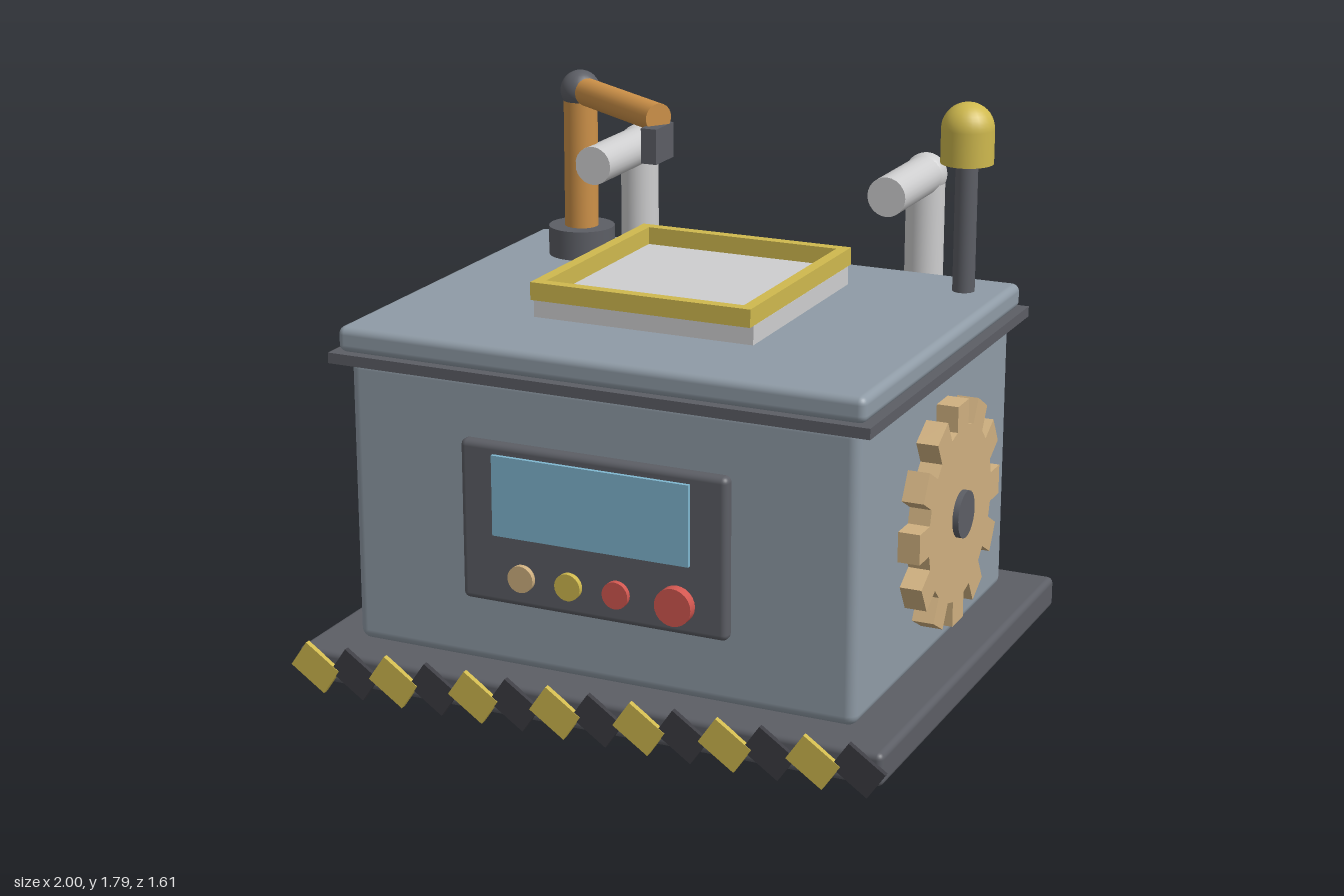
import * as THREE from 'three';
import { RoundedBoxGeometry } from 'three/addons/geometries/RoundedBoxGeometry.js';

const mat = (name, color) => {
  const m = new THREE.MeshStandardMaterial({ color });
  m.name = name;
  return m;
};

export function createModel() {
  const steel = mat('blue grey steel', 0x8f9ba6);
  const dark = mat('dark grey', 0x5c5e65);
  const black = mat('near black', 0x3c3c42);
  const yellow = mat('safety yellow', 0xcfb94e);
  const tan = mat('tan', 0xcfb080);
  const orange = mat('orange', 0xcd9148);
  const pale = mat('pale grey', 0xcececf);
  const red = mat('red', 0xd25750);
  const glass = mat('screen blue', 0x7fb6cf);

  const root = new THREE.Group();
  root.name = 'machine';
  const add = (name, geometry, material, x = 0, y = 0, z = 0, parent = root) => {
    const mesh = new THREE.Mesh(geometry, material);
    mesh.name = name;
    mesh.position.set(x, y, z);
    parent.add(mesh);
    return mesh;
  };
  const group = (name) => {
    const g = new THREE.Group();
    g.name = name;
    root.add(g);
    return g;
  };
  const box = (w, h, d) => new THREE.BoxGeometry(w, h, d);
  const rounded = (w, h, d, r) => new RoundedBoxGeometry(w, h, d, 3, r);
  const cyl = (r, h, sides = 24) => new THREE.CylinderGeometry(r, r, h, sides);
  // Cylinder running between two points
  const rod = (name, a, b, r, material, parent) => {
    const dir = b.clone().sub(a);
    const mesh = add(name, cyl(r, dir.length()), material, 0, 0, 0, parent);
    mesh.position.copy(a).lerp(b, 0.5);
    mesh.quaternion.setFromUnitVectors(new THREE.Vector3(0, 1, 0), dir.normalize());
    return mesh;
  };
  const v = (x, y, z) => new THREE.Vector3(x, y, z);
  const zc = -0.007;

  // Housing
  add('base', rounded(1.97, 0.106, 1.585, 0.02), dark, 0, 0.083, zc);
  add('body', rounded(1.69, 0.93, 1.31, 0.035), steel, 0, 0.6, zc);
  add('lidTrim', box(1.785, 0.034, 1.4), dark, 0, 1.07, zc);
  add('lid', rounded(1.74, 0.082, 1.365, 0.025), steel, 0, 1.127, zc);

  // Hazard stripes along the front edge of the base
  const stripes = group('hazardStripes');
  for (let i = 0; i < 14; i++) {
    const isYellow = i % 2 === 0;
    const stripe = add('stripe', box(0.14, 0.1, 0.018), isYellow ? yellow : black,
      (i - 6.5) * 0.1408, 0.08, isYellow ? 0.793 : 0.791, stripes);
    stripe.rotation.z = -0.6;
  }

  // Control panel with screen and buttons
  const panel = group('controlPanel');
  add('panelPlate', rounded(0.89, 0.515, 0.05, 0.02), dark, 0, 0.61, 0.657, panel);
  add('screen', box(0.656, 0.257, 0.02), glass, -0.002, 0.706, 0.685, panel);
  [[-0.235, 0.043, 0.7, tan], [-0.075, 0.043, 0.7, yellow],
    [0.085, 0.043, 0.7, red], [0.283, 0.06, 0.715, red]].forEach(([x, r, front, m]) => {
    const depth = front - 0.67;
    add('button', cyl(r, depth), m, x, 0.45, front - depth / 2, panel).rotation.x = Math.PI / 2;
  });

  // Vent slats on the right side
  const vents = group('vents');
  for (let i = 0; i < 6; i++) {
    add('slat', box(0.03, 0.044, 0.9), dark, -0.85, 0.36 + i * 0.093, zc, vents);
  }

  // Twelve-toothed gear on the left side
  const gear = group('gear');
  const outline = [];
  for (let i = 0; i < 12; i++) {
    const a = (i * Math.PI) / 6, c = Math.cos(a), s = Math.sin(a);
    [[0.275, -0.048], [0.357, -0.048], [0.357, 0.048], [0.275, 0.048]].forEach(([r, t]) =>
      outline.push(new THREE.Vector2(r * c - t * s, r * s + t * c)));
  }
  const wheel = new THREE.ExtrudeGeometry(new THREE.Shape(outline), { depth: 0.07, bevelEnabled: false });
  add('gearWheel', wheel, tan, 0.856, 0.61, -0.004, gear).rotation.y = Math.PI / 2;
  rod('gearHub', v(0.84, 0.61, -0.004), v(0.945, 0.61, -0.004), 0.075, dark, gear);

  // Framed hatch on the lid
  const hatch = group('hatch');
  const hz = -0.055;
  add('hatchPlate', box(0.74, 0.062, 0.76), pale, 0, 1.197, hz, hatch);
  for (const s of [-1, 1]) {
    add('hatchFrameEnd', box(0.74, 0.057, 0.037), yellow, 0, 1.257, hz + s * 0.385, hatch);
    add('hatchFrameSide', box(0.037, 0.057, 0.733), yellow, s * 0.3515, 1.257, hz, hatch);
  }

  // Robot arm
  const arm = group('robotArm');
  const elbow = v(-0.587, 1.722, -0.435), wrist = v(-0.165, 1.722, -0.145);
  add('armBase', cyl(0.11, 0.1), dark, elbow.x, 1.215, elbow.z, arm);
  rod('upperArm', v(elbow.x, 1.26, elbow.z), elbow, 0.056, orange, arm);
  add('elbowJoint', new THREE.SphereGeometry(0.066, 24, 16), dark, elbow.x, elbow.y, elbow.z, arm);
  rod('forearm', elbow, wrist, 0.046, orange, arm);
  add('gripper', box(0.053, 0.113, 0.128), dark, -0.17, 1.642, -0.145, arm);

  // Exhaust pipes behind the body
  for (const x of [-0.517, 0.517]) {
    const pipe = group('exhaustPipe');
    const bend = v(x, 1.483, -0.737);
    rod('pipeRiser', v(x, 0.165, bend.z), bend, 0.064, pale, pipe);
    add('pipeElbow', new THREE.SphereGeometry(0.07, 24, 16), pale, x, bend.y, bend.z, pipe);
    rod('pipeOutlet', bend, v(x, bend.y, -0.38), 0.064, pale, pipe);
  }

  // Warning beacon
  const beacon = group('beacon');
  add('beaconPole', cyl(0.036, 0.43), dark, 0.732, 1.38, -0.523, beacon);
  add('beaconLamp', cyl(0.085, 0.11), yellow, 0.732, 1.64, -0.523, beacon);
  add('beaconDome', new THREE.SphereGeometry(0.085, 24, 10, 0, Math.PI * 2, 0, Math.PI / 2),
    yellow, 0.732, 1.695, -0.523, beacon);

  return root;
}
